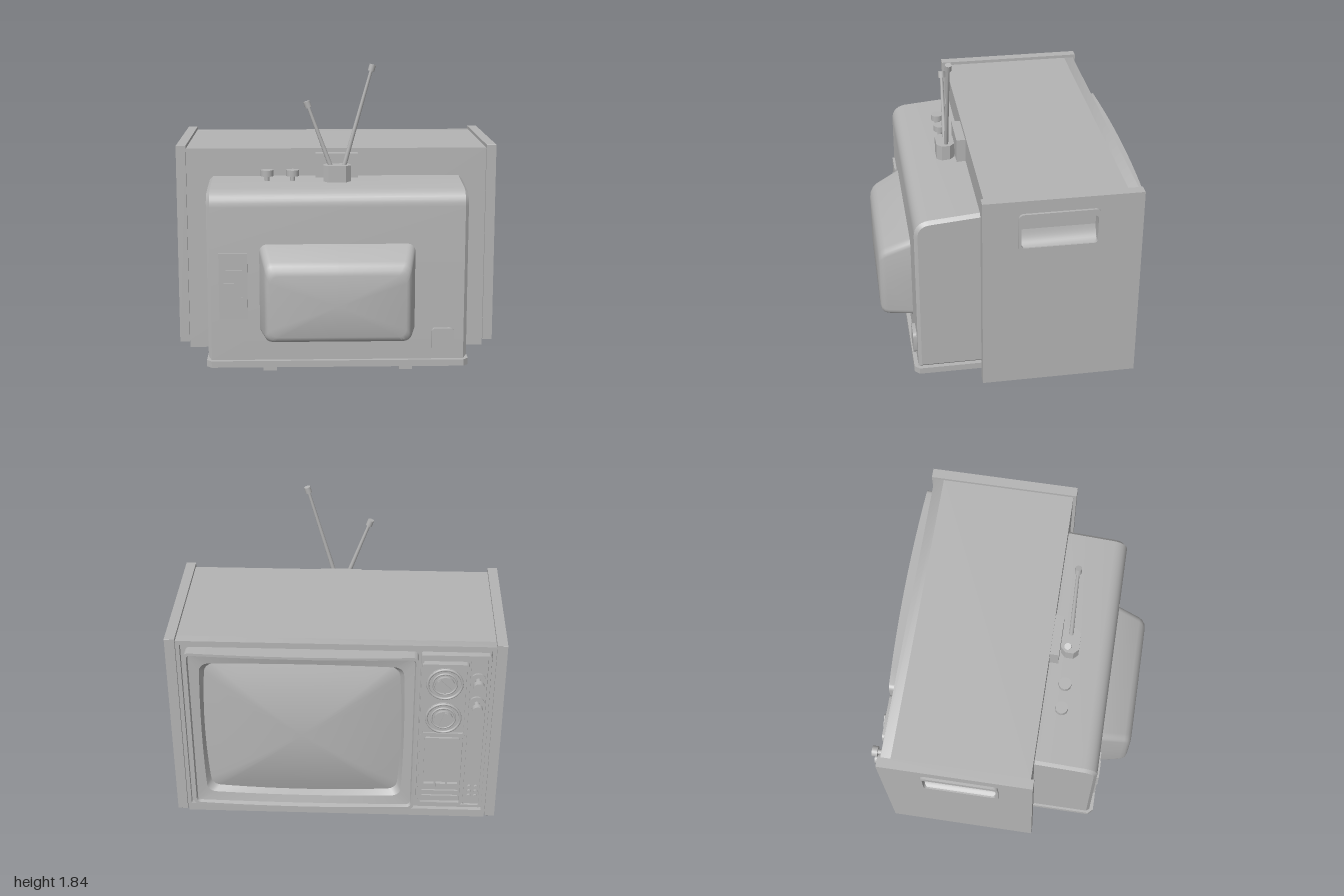
import * as THREE from 'three';
import { toCreasedNormals } from 'three/addons/utils/BufferGeometryUtils.js';

export function createModel() {
  const root = new THREE.Group();
  root.name = 'television';
  const grey = new THREE.MeshStandardMaterial({ color: 0xb4b4b4 });
  grey.name = 'grey';

  // ---- helpers ----
  const add = (name, geo, parent = root) => {
    const m = new THREE.Mesh(geo, grey);
    m.name = name;
    parent.add(m);
    return m;
  };
  const box = (name, x0, x1, y0, y1, z0, z1, parent) =>
    add(name, new THREE.BoxGeometry(x1 - x0, y1 - y0, z1 - z0)
      .translate((x0 + x1) / 2, (y0 + y1) / 2, (z0 + z1) / 2), parent);
  // rounded rectangle outline, counter-clockwise; barrel pushes the sides outward
  const outline = (x0, x1, y0, y1, r, barrel = 0, seg = 5, side = 10) => {
    const cs = [[x1 - r, y0 + r, -90], [x1 - r, y1 - r, 0], [x0 + r, y1 - r, 90], [x0 + r, y0 + r, 180]];
    const pts = [];
    cs.forEach(([cx, cy, a]) => {
      const arc = [];
      for (let i = 0; i <= seg; i++) {
        const t = (a + 90 * i / seg) * Math.PI / 180;
        arc.push(new THREE.Vector2(cx + r * Math.cos(t), cy + r * Math.sin(t)));
      }
      const last = pts[pts.length - 1];
      if (last) for (let i = 1; i < side; i++) pts.push(last.clone().lerp(arc[0], i / side));
      pts.push(...arc);
    });
    const last = pts[pts.length - 1];
    for (let i = 1; i < side; i++) pts.push(last.clone().lerp(pts[0], i / side));
    const cx = (x0 + x1) / 2, cy = (y0 + y1) / 2;
    return pts.map(p => {
      const nx = (p.x - cx) / (x1 - cx), ny = (p.y - cy) / (y1 - cy);
      return new THREE.Vector2(p.x + barrel * nx * (1 - ny * ny), p.y + barrel * ny * (1 - nx * nx));
    });
  };
  // skin through rings of Vector3, optionally capped at the last ring
  const loft = (rings, cap) => {
    const n = rings[0].length, idx = [], pos = [];
    rings.forEach(r => r.forEach(p => pos.push(p.x, p.y, p.z)));
    for (let k = 0; k < rings.length - 1; k++) for (let i = 0; i < n; i++) {
      const a = k * n + i, b = k * n + (i + 1) % n;
      idx.push(a, b, b + n, a, b + n, a + n);
    }
    if (cap) {
      const c = new THREE.Vector3(), s = (rings.length - 1) * n;
      rings[rings.length - 1].forEach(p => c.addScaledVector(p, 1 / n));
      pos.push(c.x, c.y, c.z);
      for (let i = 0; i < n; i++) idx.push(s + i, s + (i + 1) % n, rings.length * n);
    }
    const g = new THREE.BufferGeometry();
    g.setAttribute('position', new THREE.Float32BufferAttribute(pos, 3));
    g.setIndex(idx);
    return toCreasedNormals(g, 0.6);
  };
  const extrude = (pts, depth, hole, opts = {}) => {
    const s = new THREE.Shape(pts);
    if (hole) s.holes.push(new THREE.Path(hole));
    return toCreasedNormals(new THREE.ExtrudeGeometry(s, { depth, bevelEnabled: false, ...opts }), 0.6);
  };
  const plate = (name, x0, x1, y0, y1, z0, z1, r, parent, inset) =>
    add(name, extrude(outline(x0, x1, y0, y1, r, 0, 4, 1), z1 - z0,
      inset && outline(x0 + inset, x1 - inset, y0 + inset, y1 - inset, r * 0.6, 0, 4, 1)).translate(0, 0, z0), parent);
  const disc = (name, x, y, z0, z1, r, parent) =>
    add(name, new THREE.CylinderGeometry(r, r, z1 - z0, 28).rotateX(Math.PI / 2).translate(x, y, (z0 + z1) / 2), parent);
  const rod = (name, a, b, ra, rb) => {
    const d = b.clone().sub(a);
    const m = add(name, new THREE.CylinderGeometry(rb, ra, d.length(), 12));
    m.position.copy(a).addScaledVector(d, 0.5);
    m.quaternion.setFromUnitVectors(new THREE.Vector3(0, 1, 0), d.normalize());
  };

  // ---- cabinet ----
  box('cabinet', -0.93, 0.93, 0.09, 1.315, -0.63, 0.2);
  box('base', -0.925, 0.925, 0.045, 0.092, -0.665, 0.19);
  for (const s of [-1, 1]) {
    const xIn = s > 0 ? 0.925 : -0.985;
    // side panel with a hand hole
    add('sidePanel', extrude(outline(-0.22, 0.706, 0.09, 1.335, 0.001, 0, 1, 1), 0.06,
      outline(0, 0.44, 1.035, 1.215, 0.02, 0, 4, 1)).rotateY(Math.PI / 2).translate(xIn, 0, 0));
    add('handleFrame', extrude(outline(-0.015, 0.455, 1.012, 1.255, 0.03, 0, 4, 1), 0.015,
      outline(0, 0.44, 1.035, 1.215, 0.02, 0, 4, 1)).rotateY(Math.PI / 2).translate(s > 0 ? 0.985 : -1, 0, 0));
    // curved floor of the hand hole
    const curve = new THREE.QuadraticBezierCurve(new THREE.Vector2(s * 0.99, 1.035),
      new THREE.Vector2(s * 0.945, 1.045), new THREE.Vector2(s * 0.93, 1.12)).getPoints(8);
    add('handleScoop', extrude([...curve, new THREE.Vector2(s * 0.93, 1.035)], 0.44).translate(0, 0, -0.44));
    box('footRail', s * 0.72 - 0.038, s * 0.72 + 0.038, 0, 0.046, -0.605, -0.015);
    box('rearFoot', s * 0.412 - 0.04, s * 0.412 + 0.04, 0, 0.046, 0.43, 0.53);
  }

  // ---- rear housing, a side profile with chamfered ends ----
  const prof = new THREE.Shape();
  prof.moveTo(-0.1, 0.085);
  prof.lineTo(-0.1, 1.15);
  prof.lineTo(-0.22, 1.143);
  prof.lineTo(-0.5, 1.118);
  prof.bezierCurveTo(-0.55, 1.11, -0.585, 1.08, -0.585, 1.02);
  prof.lineTo(-0.585, 0.085);
  add('rearHousing', extrude(prof.getPoints(7), 1.515, null, {
    bevelEnabled: true, bevelSegments: 1, bevelSize: 0.02, bevelThickness: 0.02, bevelOffset: -0.02,
  }).rotateY(Math.PI / 2).translate(-0.76, 0, 0));
  add('rearBase', extrude(outline(-0.79, 0.785, -0.61, -0.1, 0.03, 0, 1, 1), 0.04)
    .rotateX(-Math.PI / 2).translate(0, 0.046, 0));

  // tube cover
  const cover = [
    [0.58, -0.47, 0.46, 0.245, 0.8, 0.045], [0.735, -0.437, 0.43, 0.245, 0.725, 0.045],
    [0.757, -0.43, 0.422, 0.25, 0.705, 0.045], [0.773, -0.418, 0.41, 0.262, 0.68, 0.045],
    [0.78, -0.4, 0.393, 0.282, 0.65, 0.045],
  ];
  add('tubeCover', loft(cover.map(([z, ...r]) =>
    outline(...r, 0, 5, 2).map(p => new THREE.Vector3(p.x, p.y, z))), true));

  // rear connection panel and label plate
  box('connectorPanel', -0.71, -0.54, 0.345, 0.745, 0.57, 0.6);
  for (const y of [0.462, 0.547, 0.628]) box('connector', -0.68, -0.57, y - 0.018, y + 0.018, 0.59, 0.607);
  plate('rearPlate', 0.56, 0.695, 0.138, 0.28, 0.57, 0.607, 0.025);

  // ---- antenna and top knobs ----
  box('antennaBracket', -0.13, 0.13, 1.1, 1.29, 0.19, 0.255);
  add('antennaBase', extrude(outline(-0.083, 0.083, -0.37, -0.26, 0.03, 0, 1, 1), 0.12)
    .rotateX(-Math.PI / 2).translate(0, 1.11, 0));
  for (const [x0, x1, y1] of [[-0.035, -0.185, 1.615], [0.04, 0.215, 1.835]]) {
    const a = new THREE.Vector3(x0, 1.21, 0.31), b = new THREE.Vector3(x1, y1, 0.305);
    rod('antennaRod', a, b, 0.014, 0.009);
    rod('antennaTip', b.clone().addScaledVector(b.clone().sub(a).normalize(), -0.04), b, 0.02, 0.02);
  }
  for (const x of [-0.425, -0.27]) {
    rod('topKnobStem', new THREE.Vector3(x, 1.11, 0.315), new THREE.Vector3(x, 1.17, 0.315), 0.015, 0.015);
    rod('topKnob', new THREE.Vector3(x, 1.163, 0.315), new THREE.Vector3(x, 1.2, 0.315), 0.039, 0.039);
  }

  // ---- screen side, built facing forward and turned round ----
  const face = new THREE.Group();
  face.name = 'screenSide';
  face.rotation.y = Math.PI;
  root.add(face);
  plate('frontFrame', -0.93, 0.93, 0.09, 1.315, 0.63, 0.69, 0.001, face, 0.028);
  box('frontBacking', -0.91, 0.91, 0.11, 1.29, 0.62, 0.66, face);

  // bowed bezel, then the domed screen inside its barrel-shaped opening
  const ring = (inset, r, z, bow, barrel = 0) =>
    outline(-0.877 + inset, 0.482 - inset, 0.148 + inset, 1.258 - inset, r, barrel, 5, 12)
      .map(p => new THREE.Vector3(p.x, p.y, z + bow * (1 - ((p.x + 0.198) / 0.68) ** 2)));
  const opening = ring(0.11, 0.05, 0.668, 0, 0.022);
  add('bezel', loft([ring(0, 0.03, 0.64, 0), ring(0, 0.03, 0.73, 0.022), ring(0.016, 0.025, 0.73, 0.022),
    ring(0.022, 0.025, 0.712, 0.01), ring(0.085, 0.05, 0.705, 0.005, 0.012), opening]), face);
  const domed = [1, 0.85, 0.7, 0.55, 0.4, 0.25, 0.1].map(s => opening.map(p =>
    new THREE.Vector3(-0.198 + (p.x + 0.198) * s, 0.703 + (p.y - 0.703) * s, 0.668 + 0.076 * (1 - s * s))));
  add('screen', loft(domed, true), face);

  // control panel
  plate('controlFrame', 0.495, 0.9, 0.148, 1.258, 0.65, 0.7, 0.015, face, 0.018);
  box('controlPanel', 0.505, 0.89, 0.16, 1.25, 0.65, 0.685, face);
  plate('dialPlate', 0.51, 0.765, 0.72, 1.2, 0.68, 0.71, 0.02, face);
  plate('dialPlateRim', 0.5, 0.775, 0.71, 1.21, 0.68, 0.722, 0.02, face, 0.014);
  for (const [y, turn] of [[1.075, 0.8], [0.835, -0.3]]) {
    disc('dial', 0.637, y, 0.7, 0.72, 0.105, face);
    add('dialRing', new THREE.TorusGeometry(0.1, 0.008, 8, 32).translate(0.637, y, 0.722), face);
    add('dialInnerRing', new THREE.TorusGeometry(0.07, 0.006, 8, 32).translate(0.637, y, 0.72), face);
    disc('dialKnob', 0.637, y, 0.71, 0.738, 0.055, face);
    const grip = add('dialGrip', new THREE.BoxGeometry(0.022, 0.1, 0.02), face);
    grip.position.set(0.637, y, 0.737);
    grip.rotation.z = turn;
  }
  for (const y of [1.088, 0.925]) {
    disc('sideKnobCollar', 0.83, y, 0.68, 0.697, 0.045, face);
    disc('sideKnobStem', 0.83, y, 0.69, 0.75, 0.016, face);
    disc('sideKnob', 0.83, y, 0.745, 0.78, 0.032, face);
  }

  // lower speaker panel, push buttons and dot cluster
  plate('speakerRim', 0.505, 0.775, 0.17, 0.7, 0.68, 0.705, 0.012, face, 0.014);
  plate('speakerPanel', 0.535, 0.745, 0.36, 0.67, 0.68, 0.698, 0.012, face);
  for (let i = 0; i < 3; i++) {
    box('pushButton', 0.54 + i * 0.072, 0.6 + i * 0.072, 0.295, 0.33, 0.68, 0.705, face);
    for (let j = 0; j < 2; j++) disc('dot', 0.82 + j * 0.04, 0.23 + i * 0.035, 0.68, 0.698, 0.013, face);
  }
  for (const y of [0.215, 0.255]) box('trimStrip', 0.53, 0.75, y, y + 0.015, 0.68, 0.695, face);
  box('dividerStrip', 0.785, 0.795, 0.17, 1.24, 0.68, 0.695, face);

  return root;
}
